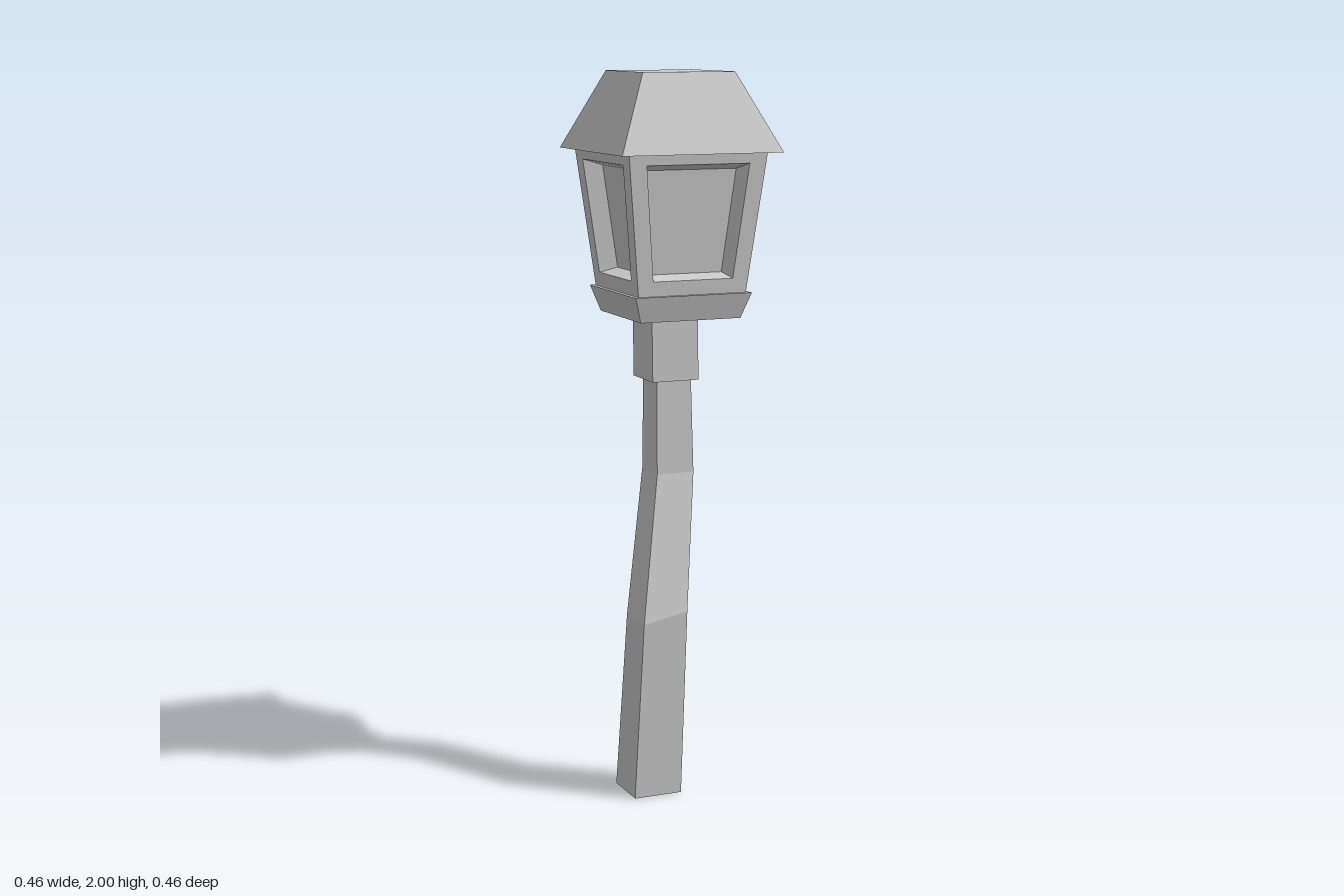
import * as THREE from 'three';

// Skins a series of four-cornered rings; the ends can be capped.
function loft(name, rings, capStart = true, capEnd = true) {
  const positions = [];
  const quad = (a, b, c, d) => {
    for (const p of [a, b, c, a, c, d]) positions.push(...p);
  };
  for (let r = 0; r + 1 < rings.length; r++) {
    for (let i = 0; i < 4; i++) {
      const j = (i + 1) % 4;
      quad(rings[r][i], rings[r][j], rings[r + 1][j], rings[r + 1][i]);
    }
  }
  if (capStart) quad(...[...rings[0]].reverse());
  if (capEnd) quad(...rings[rings.length - 1]);
  const geometry = new THREE.BufferGeometry();
  geometry.setAttribute('position', new THREE.Float32BufferAttribute(positions, 3));
  geometry.computeVertexNormals();
  const material = new THREE.MeshStandardMaterial({
    color: 0xcccccc, flatShading: true, side: THREE.DoubleSide,
  });
  const mesh = new THREE.Mesh(geometry, material);
  mesh.name = name;
  return mesh;
}

// Horizontal ring; tilt raises the +x side.
const ring = (x0, x1, y, z0, z1, tilt = 0) => [
  [x0, y, z1], [x1, y + tilt, z1], [x1, y + tilt, z0], [x0, y, z0],
];
const square = (half, y) => ring(-half, half, y, -half, half);

// Upright ring on the leaning lantern wall, pushed inward by depth.
const wallZ = (y) => 0.155 + (y - 1.41) * 0.113;
const wallRing = (bottomHalf, y0, topHalf, y1, depth = 0) => [
  [-bottomHalf, y0, wallZ(y0) - depth], [bottomHalf, y0, wallZ(y0) - depth],
  [topHalf, y1, wallZ(y1) - depth], [-topHalf, y1, wallZ(y1) - depth],
];

export function createModel() {
  const model = new THREE.Group();
  model.name = 'lampPost';

  // Crooked pole, open at the foot
  model.add(loft('pole', [
    ring(-0.135, 0.004, 0, -0.071, 0.071),
    ring(-0.124, 0.004, 0.51, -0.012, 0.114, 0.025),
    ring(-0.055, 0.053, 0.91, -0.066, 0.042),
    ring(-0.058, 0.042, 1.18, -0.05, 0.048),
  ], false, true));

  // Collar joining the pole to the lantern
  model.add(loft('collar', [
    ring(-0.077, 0.058, 1.17, -0.073, 0.064),
    ring(-0.082, 0.052, 1.35, -0.066, 0.071),
  ]));

  // Flared tray under the lantern
  model.add(loft('tray', [square(0.145, 1.345), square(0.168, 1.415)]));

  // Four walls, each with a recessed window
  const lantern = new THREE.Group();
  lantern.name = 'lantern';
  for (let i = 0; i < 4; i++) {
    const wall = loft('windowWall', [
      wallRing(wallZ(1.41), 1.41, wallZ(1.79), 1.79),
      wallRing(0.115, 1.455, 0.147, 1.762),
      wallRing(0.103, 1.468, 0.131, 1.746, 0.05),
    ], false, true);
    wall.rotation.y = (i * Math.PI) / 2;
    lantern.add(wall);
  }
  model.add(lantern);

  // Sloping roof with a flat top
  model.add(loft('roof', [square(0.23, 1.79), square(0.132, 2)]));

  return model;
}
